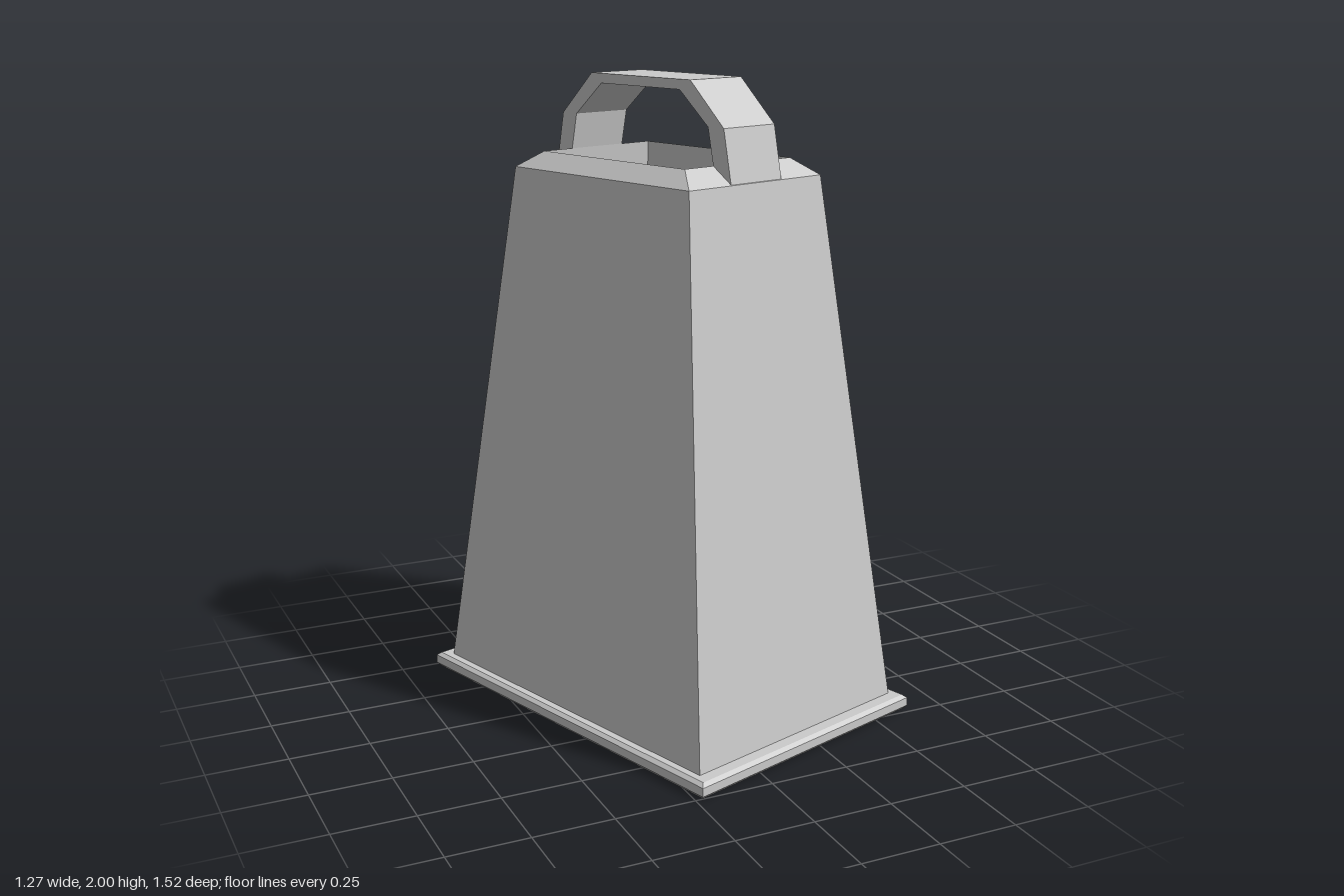
import * as THREE from 'three';

const material = new THREE.MeshStandardMaterial({ color: 0xcccccc, flatShading: true });

// Skins a stack of rectangles [halfWidth, y, halfDepth], listed upwards along an outer face
function rectLoft(sections) {
  const corners = [[-1, 1], [1, 1], [1, -1], [-1, -1]];
  const positions = [];
  const corner = ([w, y, d], k) => [corners[k % 4][0] * w, y, corners[k % 4][1] * d];
  for (let i = 0; i < sections.length - 1; i++) {
    for (let k = 0; k < 4; k++) {
      const a = corner(sections[i], k), b = corner(sections[i], k + 1);
      const c = corner(sections[i + 1], k + 1), d = corner(sections[i + 1], k);
      positions.push(...a, ...b, ...c, ...a, ...c, ...d);
    }
  }
  const geometry = new THREE.BufferGeometry();
  geometry.setAttribute('position', new THREE.Float32BufferAttribute(positions, 3));
  geometry.computeVertexNormals();
  return geometry;
}

function addPart(parent, name, geometry) {
  const mesh = new THREE.Mesh(geometry, material);
  mesh.name = name;
  parent.add(mesh);
}

export function createModel() {
  const model = new THREE.Group();
  model.name = 'hollowTaperedWeight';

  // The whole object stands turned about its vertical axis
  const turned = new THREE.Group();
  turned.name = 'turnedBody';
  turned.rotation.y = THREE.MathUtils.degToRad(17.9);
  model.add(turned);

  const innerBottom = [0.339, 0, 0.477];
  const outerBottom = [0.42, 0.05, 0.604];
  const rim = [0.217, 1.76, 0.318];

  // Base flange with small chamfers, open in the middle
  addPart(turned, 'baseFlange', rectLoft([
    innerBottom, [0.443, 0, 0.642], [0.455, 0.013, 0.654],
    [0.455, 0.04, 0.654], [0.443, 0.05, 0.642], outerBottom,
  ]));

  // Tapered outer walls
  addPart(turned, 'outerWalls', rectLoft([outerBottom, [0.272, 1.71, 0.394]]));

  // Sloping shoulder around the top opening
  addPart(turned, 'topShoulder', rectLoft([[0.272, 1.71, 0.394], rim]));

  // Inner walls of the hollow, facing inwards
  addPart(turned, 'innerWalls', rectLoft([rim, innerBottom]));

  // Arched carrying handle: half profile (z, y) mirrored front to back
  const outer = [[0.392, 1.71], [0.36, 1.87], [0.22, 2]];
  const inner = [[0.175, 1.97], [0.295, 1.87], [0.318, 1.76], [0.326, 1.71]];
  const mirrored = (points) => points.map(([z, y]) => [-z, y]).reverse();
  const profile = [...outer, ...mirrored(outer), ...mirrored(inner), ...inner];
  const shape = new THREE.Shape(profile.map(([z, y]) => new THREE.Vector2(z, y)));
  const width = 0.208;
  const handle = new THREE.ExtrudeGeometry(shape, { depth: width, bevelEnabled: false });
  handle.translate(0, 0, -width / 2);
  handle.rotateY(-Math.PI / 2);
  addPart(turned, 'handle', handle);

  return model;
}
